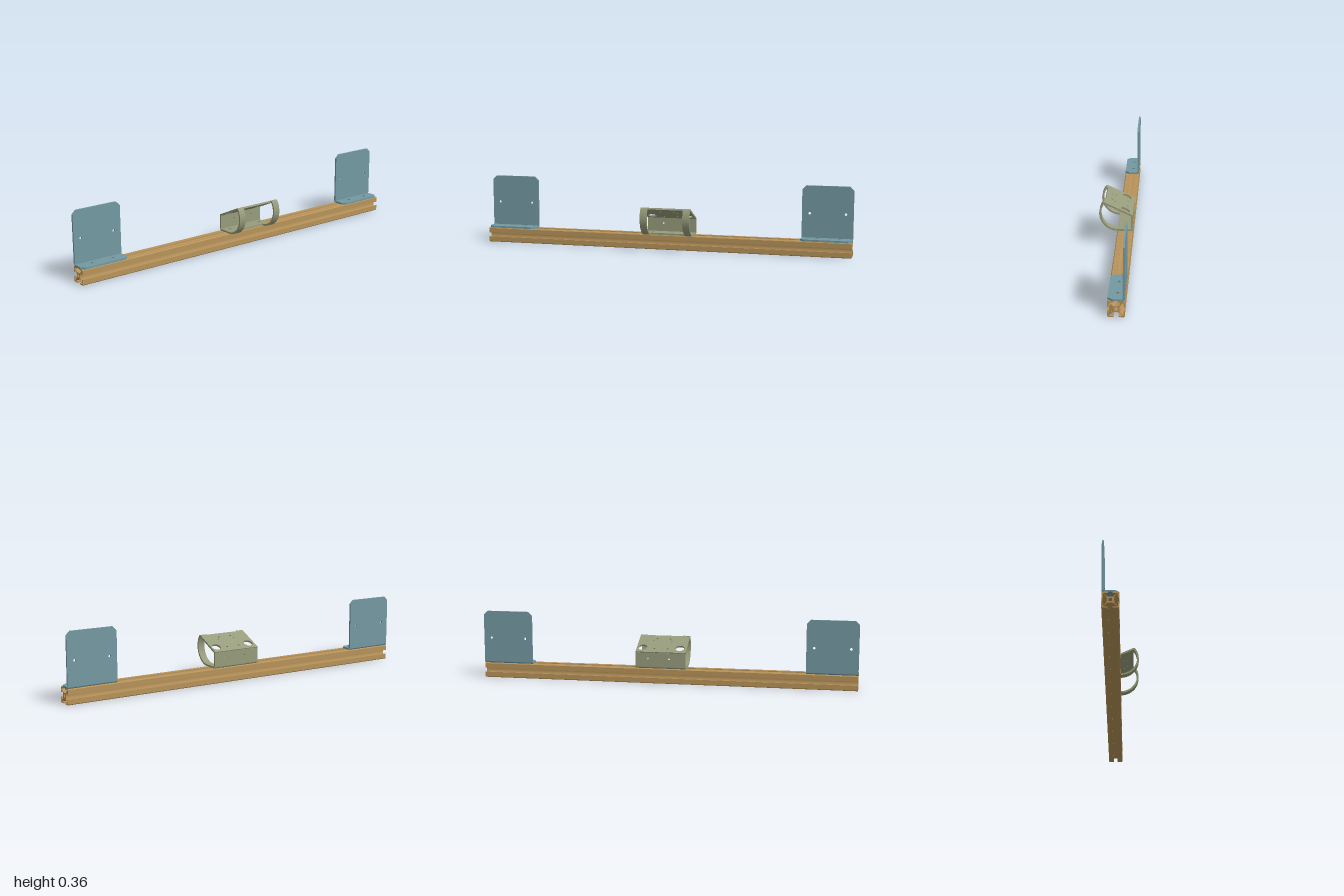
import * as THREE from 'three';

const mat = (name, color) => {
  const m = new THREE.MeshStandardMaterial({ color });
  m.name = name;
  return m;
};
const T = 0.0095;                 // sheet thickness
const X0 = -0.088, X1 = -0.008;   // beam sides
const CX = -0.048, CY = 0.04;     // beam axis

// Extrude a shape by a depth with flat ends
const extrude = (shape, depth) =>
  new THREE.ExtrudeGeometry(shape, { depth, bevelEnabled: false, curveSegments: 24 });

const polygon = (pts) => new THREE.Shape(pts.map(([x, y]) => new THREE.Vector2(x, y)));

const addHoles = (shape, holes) => {
  for (const [x, y, r] of holes) {
    const p = new THREE.Path();
    p.absarc(x, y, r, 0, Math.PI * 2, true);
    shape.holes.push(p);
  }
  return shape;
};

// Horizontal sheet: x range, z range, chamfer c on the +x corners, holes as [x, z, r]
function flatSheet(xa, xb, za, zb, c, holes) {
  const s = polygon([[xa, -za], [xa, -zb], [xb - c, -zb], [xb, -zb + c], [xb, -za - c], [xb - c, -za]]);
  addHoles(s, holes.map(([x, z, r]) => [x, -z, r]));
  return extrude(s, T).rotateX(-Math.PI / 2);
}

// Upright sheet in the z-y plane, chamfer c on the top corners, holes as [z, y, r]
function wallSheet(za, zb, ya, yb, c, holes) {
  const s = polygon([[za, ya], [zb, ya], [zb, yb - c], [zb - c, yb], [za + c, yb], [za, yb - c]]);
  return extrude(addHoles(s, holes), T).rotateY(-Math.PI / 2).translate(X0 + T, 0, 0);
}

// Rounded fold joining a wall to a flat sheet
function bend(za, zb) {
  const s = new THREE.Shape();
  s.moveTo(X0 + T, 0.08 + T);
  s.absarc(X0 + T, 0.08 + T, T, Math.PI, Math.PI * 1.5, false);
  return extrude(s, zb - za).translate(0, 0, za);
}

export function createModel() {
  const root = new THREE.Group();
  root.name = 'railAssembly';
  const tan = mat('tan', 0xb8935a);
  const blue = mat('greyBlue', 0x7499a2);
  const olive = mat('olive', 0x979c7c);

  const group = (name) => {
    const g = new THREE.Group();
    g.name = name;
    root.add(g);
    return g;
  };
  const add = (parent, name, geo, m) => {
    const mesh = new THREE.Mesh(geo, m);
    mesh.name = name;
    parent.add(mesh);
    return mesh;
  };

  // Slotted beam: hollow star core, four corner angles and diagonal webs
  const beam = group('beam');
  const core = new THREE.Shape();
  core.moveTo(0.021, 0.021);
  for (const [x, y] of [[-1, 1], [-1, -1], [1, -1], [1, 1]]) {
    const px = core.currentPoint.x, py = core.currentPoint.y;
    core.quadraticCurveTo((px + x * 0.021) * 0.2, (py + y * 0.021) * 0.2, x * 0.021, y * 0.021);
  }
  core.holes.push(new THREE.Path([[-1, -1], [-1, 1], [1, 1], [1, -1]]
    .map(([x, y]) => new THREE.Vector2(x * 0.0075, y * 0.0075))));
  add(beam, 'beamCore', extrude(core, 2).translate(CX, CY, -1), tan);

  const angle = polygon([[0.011, 0.04], [0.036, 0.04], [0.04, 0.036], [0.04, 0.011],
    [0.034, 0.011], [0.034, 0.032], [0.032, 0.034], [0.011, 0.034]]);
  const web = polygon([[0.018, 0.02], [0.02, 0.018], [0.035, 0.033], [0.033, 0.035]]);
  for (let i = 0; i < 4; i++) {
    for (const [name, s] of [['cornerAngle', angle], ['diagonalWeb', web]]) {
      add(beam, name, extrude(s, 2).translate(0, 0, -1).rotateZ(i * Math.PI / 2).translate(CX, CY, 0), tan);
    }
  }

  // Two identical end brackets
  for (const [name, z] of [['backBracket', -1], ['frontBracket', 0.732]]) {
    const g = group(name), e = z + 0.268;
    add(g, 'bracketFoot', flatSheet(X0 + T, X1, z, e, 0.02,
      [[-0.05, z + 0.07, 0.009], [-0.05, z + 0.19, 0.009]]).translate(0, 0.08, 0), blue);
    add(g, 'bracketWall', wallSheet(z, e, 0.08 + T, 0.363, 0.021,
      [[z + 0.04, 0.217, 0.007], [z + 0.228, 0.217, 0.007]]), blue);
    add(g, 'bracketBend', bend(z, e), blue);
  }

  // Central holder: foot, wall, sloped plate and two curved straps
  const holder = group('holder');
  const za = -0.165, zb = 0.103, bolts = [-0.133, 0.067];
  add(holder, 'holderFoot', flatSheet(X0 + T, -0.01, za, zb, 0,
    bolts.map((z) => [-0.05, z, 0.009])).translate(0, 0.08, 0), olive);
  add(holder, 'holderWall', wallSheet(za, zb, 0.08 + T, 0.165, 0,
    [[0.015, 0.133, 0.005], [-0.1, 0.133, 0.005]]), olive);
  add(holder, 'holderBend', bend(za, zb), olive);

  const slope = 0.432;
  const holes = bolts.map((z) => [0.042, z, 0.024]);
  for (const z of [-0.07, 0.002]) holes.push([0.034, z, 0.005], [0.125, z, 0.005]);
  holes.push([0.105, 0.012, 0.004], [0.105, -0.085, 0.004]);
  add(holder, 'slopedPlate', flatSheet(0, 0.157, za, zb, 0, holes)
    .rotateZ(slope).translate(-0.084, 0.16, 0), olive);

  // Strap cross-section: circular arc easing into the plate's upper edge
  const strap = new THREE.Shape();
  const cx = -0.01, cy = 0.176, end = 0.56;
  strap.moveTo(cx, 0.08);
  strap.absarc(cx, cy, 0.096, -Math.PI / 2, end, false);
  strap.quadraticCurveTo(0.064, 0.239, 0.0546, 0.2347);
  strap.lineTo(0.0586, 0.226);
  strap.quadraticCurveTo(0.0625, 0.227, cx + 0.0865 * Math.cos(end), cy + 0.0865 * Math.sin(end));
  strap.absarc(cx, cy, 0.0865, end, -Math.PI / 2, true);
  const w = 0.037;
  add(holder, 'backStrap', extrude(strap, w).translate(0, 0, za), olive);
  add(holder, 'frontStrap', extrude(strap, w).translate(0, 0, zb - w), olive);

  return root;
}
